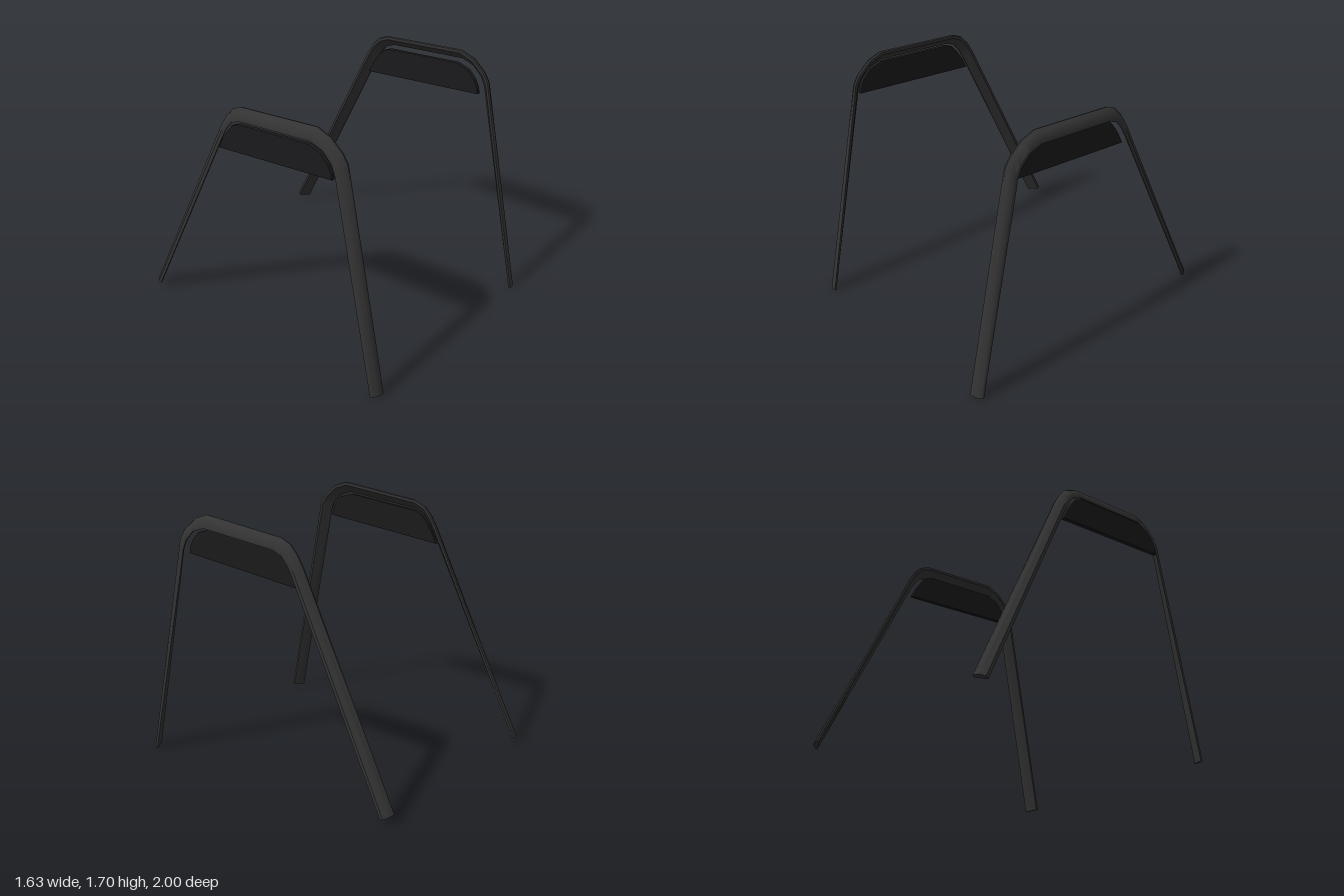
import * as THREE from 'three';
import { toCreasedNormals } from 'three/addons/utils/BufferGeometryUtils.js';

// Stations along the arch, front foot to back foot: outer z, y, inner z, y
const stations = [
  [1.0, 0.012, 0.95, 0.0], [0.7, 1.53, 0.643, 1.46], [0.66, 1.59, 0.615, 1.525],
  [0.57, 1.665, 0.55, 1.59], [0.47, 1.7, 0.46, 1.62], [-0.14, 1.637, -0.11, 1.565],
  [-0.21, 1.605, -0.18, 1.537], [-0.265, 1.545, -0.23, 1.475], [-0.31, 1.47, -0.263, 1.415],
  [-1.0, 0.055, -0.945, 0.03],
];
// Slanted flat bar section: u runs inner to outer rim, v runs outside to inside
const section = [[0, 0], [0.35, 0], [0.8, 0.35], [1, 0.8], [0.95, 1], [0.7, 1], [0, 0.15]];

// Loft the section along the arch; the legs splay slightly outwards
function frameGeometry(side) {
  const pos = [], idx = [], n = section.length;
  for (const [zo, yo, zi, yi] of stations) {
    const drop = 1 - Math.min(1, yo / 1.5);
    const xOut = 0.787 + 0.028 * drop, xIn = 0.725 + 0.012 * drop;
    for (const [u, v] of section) {
      pos.push(side * (xOut + (xIn - xOut) * v), yi + (yo - yi) * u, zi + (zo - zi) * u);
    }
  }
  const tri = (a, b, c) => (side > 0 ? idx.push(a, b, c) : idx.push(a, c, b));
  for (let i = 0; i < stations.length - 1; i++) {
    for (let k = 0; k < n; k++) {
      const a = i * n + k, b = i * n + (k + 1) % n;
      tri(a, b + n, b);
      tri(a, a + n, b + n);
    }
  }
  const last = (stations.length - 1) * n;
  for (let k = 1; k < n - 1; k++) {
    tri(0, k, k + 1);
    tri(last, last + k + 1, last + k);
  }
  const g = new THREE.BufferGeometry();
  g.setAttribute('position', new THREE.Float32BufferAttribute(pos, 3));
  g.setIndex(idx);
  return toCreasedNormals(g, 0.6);
}

// Thin infill plate that follows the underside of the arch
function panelGeometry() {
  const outline = [
    [0.625, 1.432], [0.62, 1.465], [0.593, 1.52], [0.542, 1.572], [0.455, 1.6], [-0.108, 1.546],
    [-0.165, 1.52], [-0.21, 1.465], [-0.245, 1.412], [-0.282, 1.34],
  ];
  const shape = new THREE.Shape(outline.map(([z, y]) => new THREE.Vector2(z, y)));
  const g = new THREE.ExtrudeGeometry(shape, {
    depth: 0.018, bevelEnabled: true, bevelSize: 0.006, bevelThickness: 0.006, bevelSegments: 2,
  });
  g.translate(0, 0, -0.009);
  g.rotateY(-Math.PI / 2);
  return g;
}

export function createModel() {
  const model = new THREE.Group();
  const barMaterial = new THREE.MeshStandardMaterial({ color: 0x333333 });
  const panelMaterial = new THREE.MeshStandardMaterial({ color: 0x1a1a1c });

  for (const side of [1, -1]) {
    const group = new THREE.Group();
    group.name = side > 0 ? 'leftSideFrame' : 'rightSideFrame';

    const bar = new THREE.Mesh(frameGeometry(side), barMaterial);
    bar.name = 'archedLegs';

    // Both panels sit towards the same side of their arch
    const panel = new THREE.Mesh(panelGeometry(), panelMaterial);
    panel.name = 'armPanel';
    panel.position.x = side > 0 ? 0.73 : -0.785;

    group.add(bar, panel);
    model.add(group);
  }
  return model;
}
